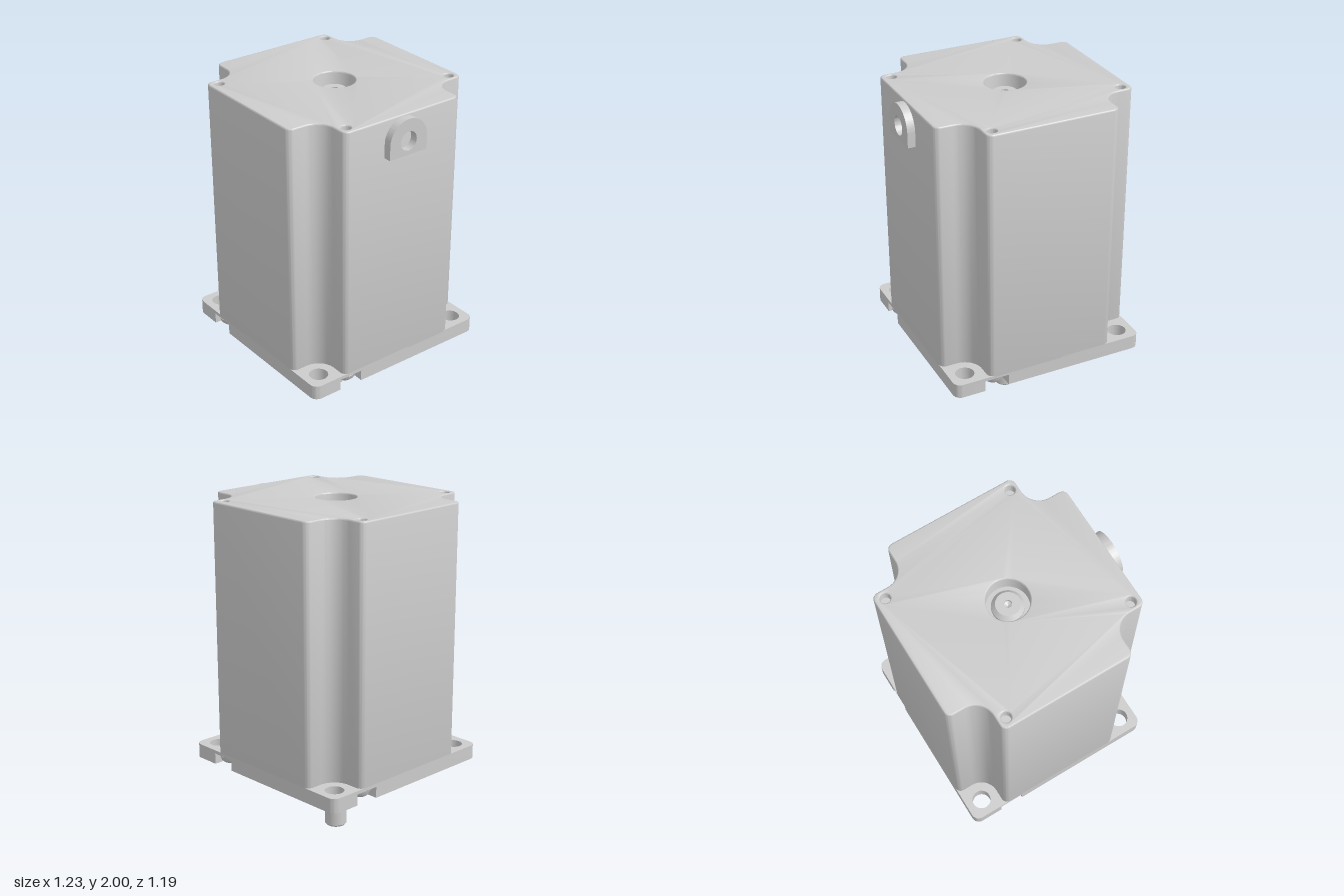
import * as THREE from 'three';
import { toCreasedNormals } from 'three/addons/utils/BufferGeometryUtils.js';

const H = 0.588;                 // half width of the square frame
const SCREW = [-0.337, 0.531];   // one screw; the others follow by quarter turns
const BORE = 0.117;
const HOLE = 0.491;              // mounting hole offset

const grey = new THREE.MeshStandardMaterial({ color: 0xcccccc });

function arc(cx, cy, r, a0, a1, n = 10) {
  const pts = [];
  for (let i = 0; i <= n; i++) {
    const a = THREE.MathUtils.degToRad(a0 + (a1 - a0) * i / n);
    pts.push(new THREE.Vector2(cx + r * Math.cos(a), cy + r * Math.sin(a)));
  }
  return pts;
}

// Point turned by k quarter turns
function turn(x, y, k) {
  for (; k > 0; k--) [x, y] = [-y, x];
  return new THREE.Vector2(x, y);
}

// Outline made of one quarter repeated four times
function fourfold(quarter) {
  const pts = [];
  for (let k = 0; k < 4; k++) for (const p of quarter) pts.push(turn(p.x, p.y, k));
  return new THREE.Shape(pts);
}

function addHole(shape, x, y, r) {
  shape.holes.push(new THREE.Path().absarc(x, y, r, 0, Math.PI * 2, true));
}

function add(group, name, geometry) {
  const mesh = new THREE.Mesh(toCreasedNormals(geometry, 0.55), grey);
  mesh.name = name;
  group.add(mesh);
  return mesh;
}

// Vertical prism between two heights, with optionally rounded rims
function prism(shape, y0, y1, b = 0) {
  const g = new THREE.ExtrudeGeometry(shape, {
    depth: y1 - y0 - 2 * b, curveSegments: 20, bevelEnabled: b > 0,
    bevelThickness: b, bevelSize: b, bevelOffset: -b, bevelSegments: 3
  });
  return g.rotateX(Math.PI / 2).translate(0, y1 - b, 0);
}

function lathe(points, segments = 48) {
  return new THREE.LatheGeometry(points.map(p => new THREE.Vector2(...p)), segments);
}

function plug(r, y0, y1) {
  return new THREE.CylinderGeometry(r, r, y1 - y0, 32).translate(0, (y0 + y1) / 2, 0);
}

export function createModel() {
  const model = new THREE.Group();
  model.name = 'steppedMotor';
  const motor = new THREE.Group();
  motor.name = 'motor';
  motor.position.x = -0.024;
  model.add(motor);

  // Housing with scooped corners, centre bore and screw holes
  const body = fourfold([
    ...arc(0.552, 0.349, 0.036, 0, 90, 8),
    ...arc(HOLE, HOLE, 0.106, -90, -180, 14),
    ...arc(0.349, 0.552, 0.036, 0, 90, 8)
  ]);
  addHole(body, 0, 0, BORE);
  for (let k = 0; k < 4; k++) {
    const s = turn(...SCREW, k);
    addHole(body, s.x, s.y, 0.028);
  }
  add(motor, 'housing', prism(body, 0.505, 2, 0.008));
  add(motor, 'boreFloor', plug(BORE + 0.002, 0.48, 1.9));

  // Flange: plain upper layer, lower layer notched around the screws
  const corner = arc(0.543, 0.543, 0.045, 0, 90, 8);
  const notch = [
    new THREE.Vector2(SCREW[0] + 0.073, H),
    ...arc(...SCREW, 0.073, 0, -180, 16),
    new THREE.Vector2(SCREW[0] - 0.073, H)
  ];
  const upper = fourfold(corner);
  const lower = fourfold([...corner, ...notch]);
  for (const shape of [upper, lower]) {
    addHole(shape, 0, 0, BORE);
    for (let k = 0; k < 4; k++) {
      const h = turn(HOLE, HOLE, k);
      addHole(shape, h.x, h.y, 0.054);
    }
  }
  add(motor, 'flangeTop', prism(upper, 0.5, 0.52));
  add(motor, 'flangeBottom', prism(lower, 0.435, 0.5));

  // Screw heads in the notches and floors of the screw holes
  for (let k = 0; k < 4; k++) {
    const s = turn(...SCREW, k);
    add(motor, 'screwHead', lathe([
      [0, 0.478], [0.02, 0.478], [0.022, 0.457], [0.04, 0.462], [0.054, 0.475], [0.062, 0.501]
    ], 28)).position.set(s.x, 0, s.y);
    add(motor, 'screwHoleFloor', plug(0.029, 0.52, 1.94)).position.set(s.x, 0, s.y);
  }

  // Raised pilot ring under the flange
  add(motor, 'pilotRing', lathe([
    [BORE, 0.437], [BORE, 0.405], [0.39, 0.405], [0.397, 0.412], [0.397, 0.437]
  ], 72));

  // Output shaft with centre drillings and a thicker rear end
  add(motor, 'shaft', lathe([
    [0, 0.03], [0.022, 0.015], [0.022, 0], [0.058, 0], [0.066, 0.01], [0.066, 0.55]
  ]));
  add(motor, 'shaftRearEnd', lathe([
    [0.088, 1.85], [0.088, 1.92], [0.067, 1.945], [0.022, 1.945], [0.022, 1.93], [0, 1.915]
  ]));

  // Arched cable lug on the side
  const lug = new THREE.Shape();
  lug.moveTo(-0.125, 1.785);
  lug.lineTo(0.125, 1.785);
  lug.lineTo(0.125, 1.865);
  lug.absarc(0, 1.865, 0.125, 0, Math.PI, false);
  lug.closePath();
  addHole(lug, 0, 1.865, 0.054);
  const lugGeometry = new THREE.ExtrudeGeometry(lug, { depth: 0.05, bevelEnabled: false, curveSegments: 24 });
  add(model, 'cableLug', lugGeometry.rotateY(Math.PI / 2).translate(0.559, 0, 0));

  return model;
}
